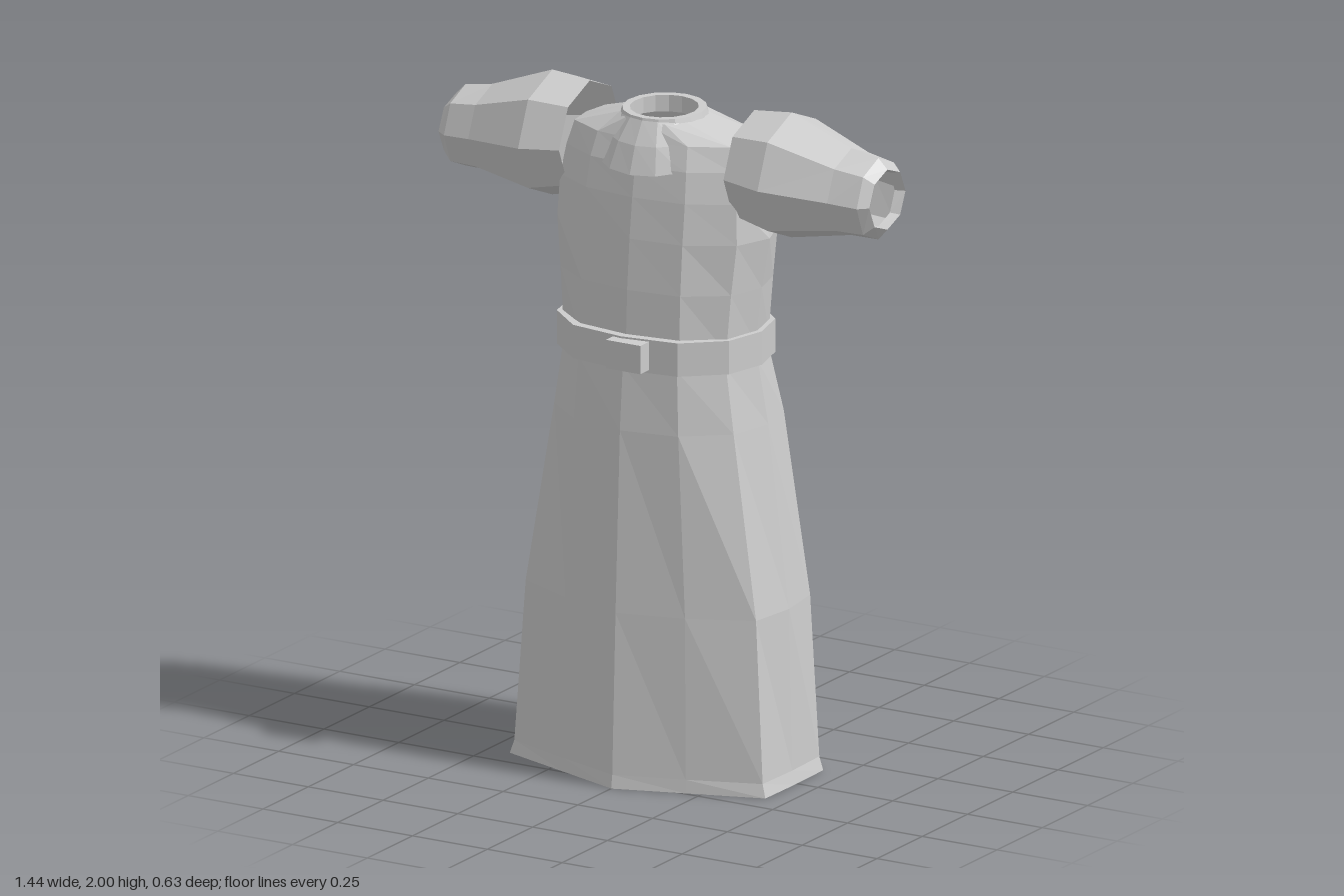
import * as THREE from 'three';

const cloth = new THREE.MeshStandardMaterial({ color: 0xcccccc, flatShading: true, side: THREE.DoubleSide });
cloth.name = 'pale grey cloth';

// Skin a list of equal-length closed rings of [x, y, z] points
function loft(name, rings) {
  const n = rings[0].length, index = [];
  for (let r = 0; r < rings.length - 1; r++) {
    for (let i = 0; i < n; i++) {
      const a = r * n + i, b = r * n + (i + 1) % n;
      index.push(a, b, a + n, b, b + n, a + n);
    }
  }
  const geometry = new THREE.BufferGeometry();
  geometry.setAttribute('position', new THREE.Float32BufferAttribute(rings.flat(2), 3));
  geometry.setIndex(index);
  geometry.computeVertexNormals();
  const mesh = new THREE.Mesh(geometry, cloth);
  mesh.name = name;
  return mesh;
}

// Twelve-sided body section: half widths at side, side corner and panel crease,
// depths at front, front corner, back corner and back, k = how flat the panels are
function section([y, xo, xs, xm, zf, zsf, zsb, zb, k]) {
  const half = [
    [xm, y, zf + (zsf - zf) * k], [xs, y, zsf], [xo, y, (zsf + zsb) / 2],
    [xs, y, zsb], [xm, y, zb + (zsb - zb) * k],
  ];
  const mirrored = half.map(([x, h, z]) => [-x, h, z]).reverse();
  return [[0, y, zf], ...half, [0, y, zb], ...mirrored];
}

// Ellipse ring around the neck; y may drop towards the front
function neckRing(rx, zFront, zBack, yFront, yBack, n = 16) {
  return Array.from({ length: n }, (_, i) => {
    const a = i / n * Math.PI * 2, t = (1 + Math.cos(a)) / 2;
    return [Math.sin(a) * rx, yBack + (yFront - yBack) * t, zBack + (zFront - zBack) * t];
  });
}

// Octagonal sleeve; stations are x, centre y, vertical radius, depth radius
function sleeve(name, s) {
  const stations = [
    [0.275, 1.822, 0.165, 0.17], [0.4, 1.813, 0.187, 0.19], [0.6, 1.795, 0.13, 0.135],
    [0.69, 1.788, 0.122, 0.12], [0.72, 1.79, 0.09, 0.1], [0.69, 1.79, 0.085, 0.09],
  ];
  return loft(name, stations.map(([x, y, ry, rz]) => Array.from({ length: 8 }, (_, i) => {
    const a = i / 8 * Math.PI * 2;
    return [s * x, y + Math.cos(a) * ry, -0.02 + s * Math.sin(a) * rz];
  })));
}

export function createModel() {
  const robe = new THREE.Group();
  robe.name = 'robe';

  // Open skirt, hexagonal at the hem and rounder at the waist
  robe.add(loft('skirt', [
    [0, 0.43, 0.427, 0.205, 0.316, 0.17, -0.15, -0.316, 0.48],
    [0.04, 0.42, 0.415, 0.205, 0.31, 0.165, -0.148, -0.305, 0.46],
    [0.52, 0.405, 0.385, 0.2, 0.292, 0.152, -0.147, -0.292, 0.38],
    [1.06, 0.332, 0.3, 0.175, 0.268, 0.135, -0.142, -0.27, 0.25],
    [1.25, 0.306, 0.272, 0.165, 0.252, 0.13, -0.108, -0.236, 0.22],
    [1.34, 0.298, 0.27, 0.165, 0.24, 0.13, -0.105, -0.226, 0.2],
  ].map(section)));

  // Torso closing over the shoulders up to the neck
  robe.add(loft('torso', [
    [1.3, 0.3, 0.272, 0.165, 0.235, 0.13, -0.105, -0.228, 0.2],
    [1.47, 0.318, 0.285, 0.165, 0.228, 0.125, -0.108, -0.227, 0.2],
    [1.62, 0.342, 0.3, 0.165, 0.215, 0.118, -0.108, -0.22, 0.2],
    [1.74, 0.31, 0.295, 0.165, 0.2, 0.11, -0.106, -0.21, 0.2],
    [1.83, 0.295, 0.28, 0.16, 0.185, 0.1, -0.1, -0.195, 0.22],
    [1.9, 0.275, 0.262, 0.15, 0.162, 0.085, -0.085, -0.16, 0.25],
    [1.95, 0.13, 0.11, 0.065, 0.145, 0.083, -0.043, -0.105, 0.25],
  ].map(section)));

  // Neck band with a turned-in rim
  robe.add(loft('neckBand', [
    neckRing(0.13, 0.148, -0.108, 1.94, 1.945),
    neckRing(0.122, 0.142, -0.1, 1.962, 1.97),
    neckRing(0.1, 0.12, -0.075, 1.962, 1.97),
    neckRing(0.1, 0.12, -0.075, 1.92, 1.92),
  ]));

  // Collar flaring out over the chest and sinking into the back
  robe.add(loft('collar', [
    neckRing(0.2, 0.214, -0.168, 1.81, 1.91),
    neckRing(0.165, 0.185, -0.145, 1.89, 1.925),
    neckRing(0.12, 0.145, -0.1, 1.955, 1.955),
  ]));

  // Belt strip standing slightly proud of the waist
  const outer = [0.32, 0.288, 0.175, 0.262, 0.14, -0.115, -0.238, 0.2];
  const inner = [0.295, 0.265, 0.16, 0.235, 0.125, -0.1, -0.222, 0.2];
  robe.add(loft('belt', [
    [1.24, ...inner], [1.24, ...outer], [1.34, ...outer], [1.34, ...inner],
  ].map(section)));

  const buckle = new THREE.Mesh(new THREE.BoxGeometry(0.115, 0.085, 0.05), cloth);
  buckle.name = 'buckle';
  buckle.position.set(0.029, 1.292, 0.273);
  robe.add(buckle);

  robe.add(sleeve('leftSleeve', 1), sleeve('rightSleeve', -1));
  return robe;
}
